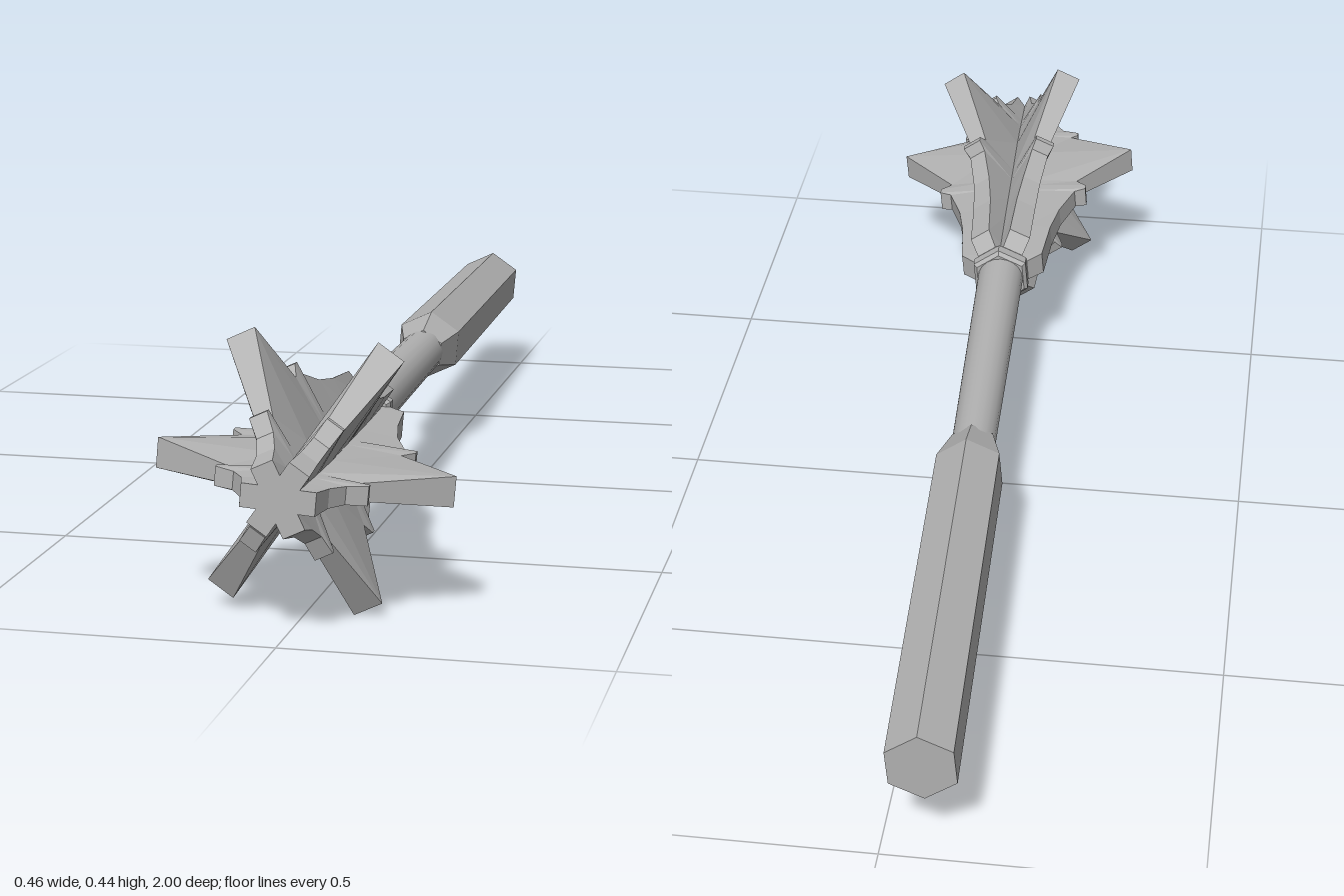
import * as THREE from 'three';

const steel = new THREE.MeshStandardMaterial({ color: 0xb2b2b2, flatShading: true });
steel.name = 'steel';
const smoothSteel = new THREE.MeshStandardMaterial({ color: 0xb2b2b2 });
smoothSteel.name = 'smooth steel';

const TURN = THREE.MathUtils.degToRad(-5); // roll of the blades about the axis
const STEP = Math.PI / 3;

// Loft closed cross-sections (arrays of [x, y]) running along +z, with end caps
function loft(sections) {
  const pos = [];
  const n = sections[0].points.length;
  const at = (i, j) => [...sections[i].points[j % n], sections[i].z];
  for (let i = 0; i < sections.length - 1; i++) {
    for (let j = 0; j < n; j++) {
      const a = at(i, j), b = at(i, j + 1), c = at(i + 1, j + 1), d = at(i + 1, j);
      pos.push(...a, ...b, ...c, ...a, ...c, ...d);
    }
  }
  const last = sections.length - 1;
  for (let j = 0; j < n; j++) {
    pos.push(0, 0, sections[0].z, ...at(0, j + 1), ...at(0, j));
    pos.push(0, 0, sections[last].z, ...at(last, j), ...at(last, j + 1));
  }
  const g = new THREE.BufferGeometry();
  g.setAttribute('position', new THREE.Float32BufferAttribute(pos, 3));
  g.computeVertexNormals();
  return g;
}

// Six-armed star: arm reach r, half width w, valley radius v
function star(z, r, w, v) {
  const points = [];
  for (let k = 0; k < 6; k++) {
    const a = TURN + k * STEP, c = Math.cos(a), s = Math.sin(a);
    points.push([v * Math.cos(a - STEP / 2), v * Math.sin(a - STEP / 2)]);
    for (const e of [-w, w]) points.push([r * c - e * s, r * s + e * c]);
  }
  return { z, points };
}

// Hexagon whose flats line up with the blades
function hexagon(z, r) {
  const points = [];
  for (let k = 0; k < 6; k++) {
    const a = TURN + (k + 0.5) * STEP;
    points.push([r * Math.cos(a), r * Math.sin(a)]);
  }
  return { z, points };
}

export function createModel() {
  const model = new THREE.Group();
  model.name = 'mace';
  const add = (name, geometry, material = steel) => {
    const mesh = new THREE.Mesh(geometry, material);
    mesh.name = name;
    model.add(mesh);
  };

  // Flanged head: z, reach, half width, valley
  add('flangedHead', loft([
    [0.405, 0.05, 0.02, 0.042],
    [0.43, 0.077, 0.021, 0.044],
    [0.53, 0.086, 0.02, 0.046],
    [0.60, 0.099, 0.018, 0.046],
    [0.67, 0.124, 0.017, 0.046],
    [0.677, 0.145, 0.019, 0.046],
    [0.69, 0.145, 0.019, 0.046],
    [0.71, 0.126, 0.017, 0.046],
    [0.82, 0.23, 0.024, 0.047],
    [0.895, 0.103, 0.014, 0.043],
    [0.902, 0.116, 0.015, 0.042],
    [0.912, 0.116, 0.015, 0.042],
    [0.925, 0.085, 0.014, 0.041],
    [0.955, 0.066, 0.015, 0.038],
    [0.998, 0.056, 0.018, 0.036],
  ].map((row) => star(...row))));

  // Collar between head and shaft
  add('collar', loft([
    [0.378, 0.05], [0.385, 0.057], [0.405, 0.057], [0.412, 0.05],
  ].map((row) => hexagon(...row))));

  // Round shaft
  const shaft = new THREE.CylinderGeometry(0.043, 0.038, 0.59, 20);
  shaft.rotateX(Math.PI / 2).translate(0, 0, 0.095);
  add('shaft', shaft, smoothSteel);

  // Hexagonal grip flaring out of the shaft
  add('grip', loft([
    [-0.998, 0.061], [-0.24, 0.063], [-0.165, 0.041],
  ].map((row) => hexagon(...row))));

  // The mace lies slightly askew
  const axis = new THREE.Vector3(0.036, 0.0225, 1).normalize();
  model.quaternion.setFromUnitVectors(new THREE.Vector3(0, 0, 1), axis);
  model.position.set(-0.031, 0.2, 0);

  const group = new THREE.Group();
  group.name = 'model';
  group.add(model);
  return group;
}
